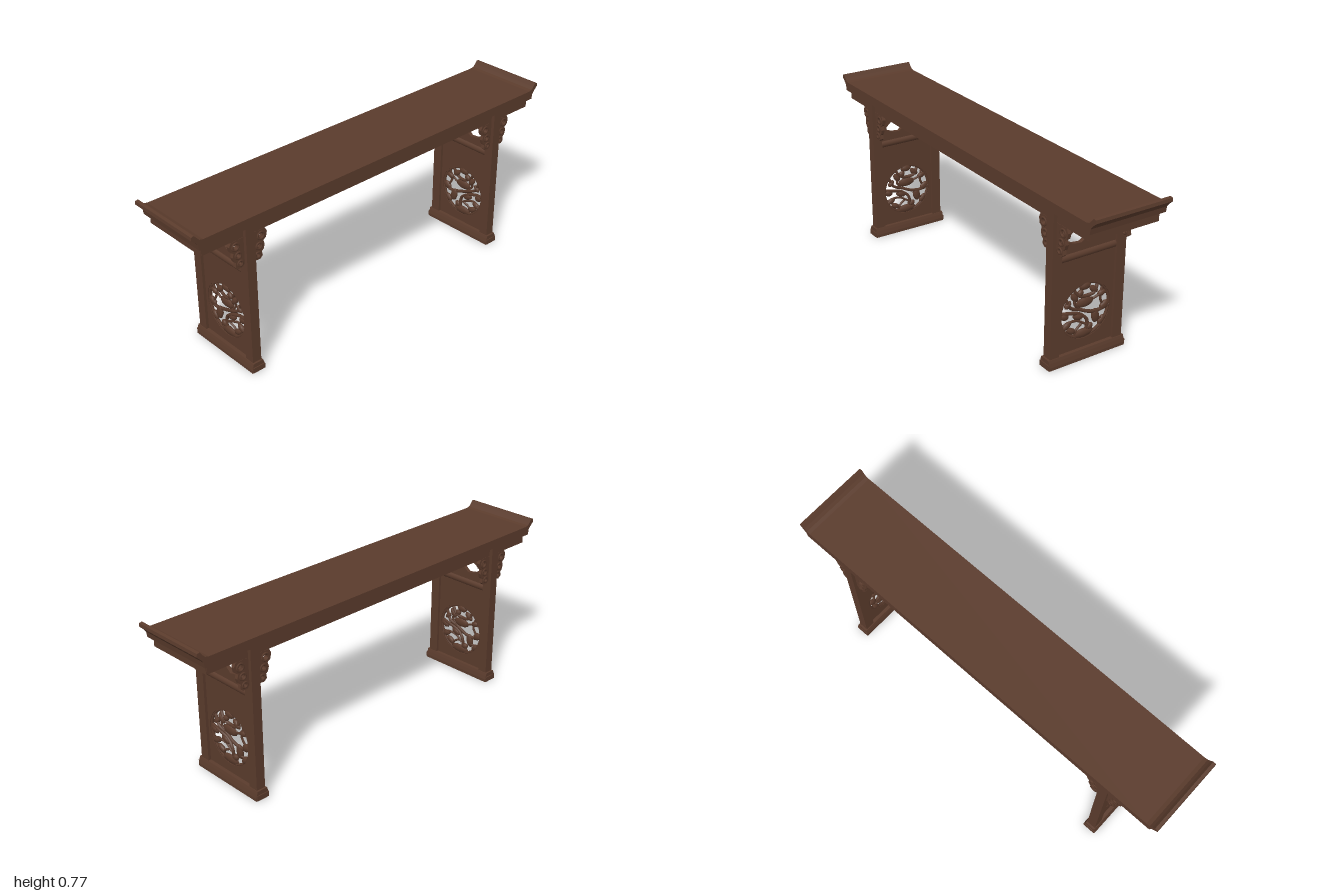
import * as THREE from 'three';

const wood = new THREE.MeshStandardMaterial({ color: 0x5a3b2c });
wood.name = 'dark walnut';

function add(parent, name, geo, x = 0, y = 0, z = 0) {
  const m = new THREE.Mesh(geo, wood);
  m.name = name;
  m.position.set(x, y, z);
  parent.add(m);
  return m;
}
const box = (p, n, w, h, d, x, y, z) => add(p, n, new THREE.BoxGeometry(w, h, d), x, y, z);
const poly = pts => new THREE.Shape(pts.map(p => new THREE.Vector2(p[0], p[1])));

// Extrusion centred on its own depth
function slab(shape, depth) {
  const g = new THREE.ExtrudeGeometry(shape, { depth, bevelEnabled: false, curveSegments: 16 });
  return g.translate(0, 0, -depth / 2);
}
function rect(w, y0, y1) {
  return poly([[-w, y0], [w, y0], [w, y1], [-w, y1]]);
}

// Rounded twig through a few points in the carving plane
function twig(parent, pts, r) {
  const k = 1 / 492;
  const curve = new THREE.CatmullRomCurve3(pts.map(([x, y], i) => new THREE.Vector3(x * k, y * k, i % 2 ? 0.003 : -0.002)));
  add(parent, 'carvedTwig', new THREE.TubeGeometry(curve, 14, r, 6));
}

// Pointed low-poly leaf
function leaf(parent, x, y, w, h, turn) {
  const k = 1 / 492;
  const g = new THREE.SphereGeometry(1, 8, 6).scale(w * k, h * k, 0.011);
  const m = add(parent, 'carvedLeaf', g, x * k, y * k, 0);
  m.rotation.z = turn;
}

// Openwork roundel with branches and leaves
function roundel() {
  const g = new THREE.Group();
  g.name = 'carvedRoundel';
  add(g, 'roundelRing', new THREE.TorusGeometry(0.124, 0.007, 6, 28));
  [
    [[-48, 38], [-36, 14], [-14, 4], [14, -8], [40, -12], [60, -4]],
    [[-60, 6], [-36, 2], [-10, -8], [6, -24], [6, -52]],
    [[-30, 54], [-16, 36], [0, 30], [22, 34], [32, 52]],
    [[20, 18], [36, 24], [56, 24]],
    [[-56, -24], [-34, -18], [-16, -22], [4, -34]],
    [[24, -12], [32, -28], [52, -32]],
    [[-24, -56], [-20, -40], [-4, -30]],
    [[44, 42], [38, 18], [46, -2]],
    [[-22, 40], [-26, 20], [-14, 6]],
  ].forEach((p, i) => twig(g, p, i < 3 ? 0.0075 : 0.0055));
  [
    [0, 17, 23, 11, 0], [0, 54, 15, 9, 0], [-2, -53, 27, 10, 0], [28, -22, 10, 17, 0.2],
    [50, -4, 13, 9, 0.6], [-50, -2, 12, 8, -0.4], [-44, -25, 13, 7, 0.5], [-32, -40, 13, 7, -0.5],
    [-26, 34, 13, 7, 2.2], [-42, 22, 10, 6, 0.8], [22, 40, 13, 7, -0.7], [42, 26, 11, 7, 0.3],
    [14, -42, 9, 7, 0.4], [44, -36, 12, 7, 0.9], [-16, -12, 14, 7, -0.4], [-12, 40, 9, 7, 0.7],
  ].forEach(a => leaf(g, ...a));
  return g;
}

// Scalloped corner bracket beside a leg; s is the direction away from it
function bracket(s) {
  const g = new THREE.Group();
  g.name = 'cornerBracket';
  const shape = poly([[0, 0.655], [0.064, 0.655], [0.074, 0.635], [0.068, 0.61], [0.054, 0.6],
    [0.06, 0.58], [0.054, 0.56], [0.044, 0.552], [0.048, 0.532], [0.034, 0.52], [0.012, 0.522], [0, 0.535]]
    .map(([x, y]) => [x * s, y]));
  for (const [x, y, r] of [[0.043, 0.627, 0.01], [0.032, 0.583, 0.008], [0.024, 0.543, 0.006]]) {
    const hole = new THREE.Path();
    hole.absellipse(x * s, y, r, r * 1.1, 0, Math.PI * 2, true);
    shape.holes.push(hole);
    add(g, 'bracketCurl', new THREE.TorusGeometry(r + 0.006, 0.006, 6, 14), x * s, y, 0.006);
    add(g, 'bracketCurlBack', new THREE.TorusGeometry(r + 0.006, 0.006, 6, 14), x * s, y, -0.006);
  }
  add(g, 'bracketPlate', slab(shape, 0.016));
  return g;
}

// Panelled end support: posts, rails, pierced panels, foot
function support() {
  const g = new THREE.Group();
  g.name = 'endSupport';
  const foot = poly([[-0.033, 0], [0.033, 0], [0.033, 0.014], [0.029, 0.032], [0.025, 0.045],
    [-0.025, 0.045], [-0.029, 0.032], [-0.033, 0.014]]);
  add(g, 'foot', slab(foot, 0.384));
  for (const s of [-1, 1]) {
    box(g, 'legPost', 0.044, 0.65, 0.046, 0, 0.37, s * 0.16);
    box(g, 'footEnd', 0.062, 0.024, 0.006, 0, 0.014, s * 0.193);
    for (const d of [-1, 1]) {
      const b = bracket(d);
      b.position.set(d * 0.02, 0, s * 0.16);
      g.add(b);
    }
  }

  // Panels are drawn facing forward, then turned to the side
  const panels = new THREE.Group();
  panels.name = 'piercedPanels';
  panels.rotation.y = Math.PI / 2;
  g.add(panels);
  const lower = rect(0.138, 0.04, 0.465);
  const round = new THREE.Path();
  round.absarc(0, 0.213, 0.127, 0, Math.PI * 2, true);
  lower.holes.push(round);
  add(panels, 'lowerPanel', slab(lower, 0.018));
  const r = roundel();
  r.position.y = 0.213;
  panels.add(r);

  const upper = rect(0.138, 0.49, 0.63);
  upper.holes.push(poly([[-0.104, 0.561], [-0.075, 0.587], [-0.045, 0.587], [-0.024, 0.579], [0, 0.592],
    [0.02, 0.579], [0.051, 0.587], [0.071, 0.583], [0.107, 0.559], [0.071, 0.537], [0.033, 0.529],
    [0, 0.555], [-0.035, 0.529], [-0.071, 0.533], [-0.104, 0.547]]));
  add(panels, 'upperPanel', slab(upper, 0.018));
  box(panels, 'topRail', 0.276, 0.07, 0.034, 0, 0.66, 0);
  const rail = add(panels, 'middleRail', new THREE.CylinderGeometry(0.0185, 0.0185, 0.276, 16), 0, 0.4785, 0);
  rail.rotation.z = Math.PI / 2;
  return g;
}

export function createModel() {
  const table = new THREE.Group();
  table.name = 'altarTable';

  // Top board with upturned ends
  const half = [[0.966, 0.695], [0.97, 0.72], [0.982, 0.735], [1, 0.752], [0.998, 0.766],
    [0.985, 0.769], [0.974, 0.754], [0.962, 0.742], [0.945, 0.738]];
  const top = poly([...half, ...half.map(([x, y]) => [-x, y]).reverse()]);
  add(table, 'topBoard', slab(top, 0.366));

  // Apron frame below the top
  for (const s of [-1, 1]) {
    box(table, 'longApron', 1.896, 0.042, 0.02, 0, 0.676, s * 0.157);
    box(table, 'endApron', 0.02, 0.042, 0.33, s * 0.94, 0.676, 0);
  }

  for (const s of [-1, 1]) {
    const end = support();
    end.position.x = s * 0.726;
    table.add(end);
  }
  return table;
}
